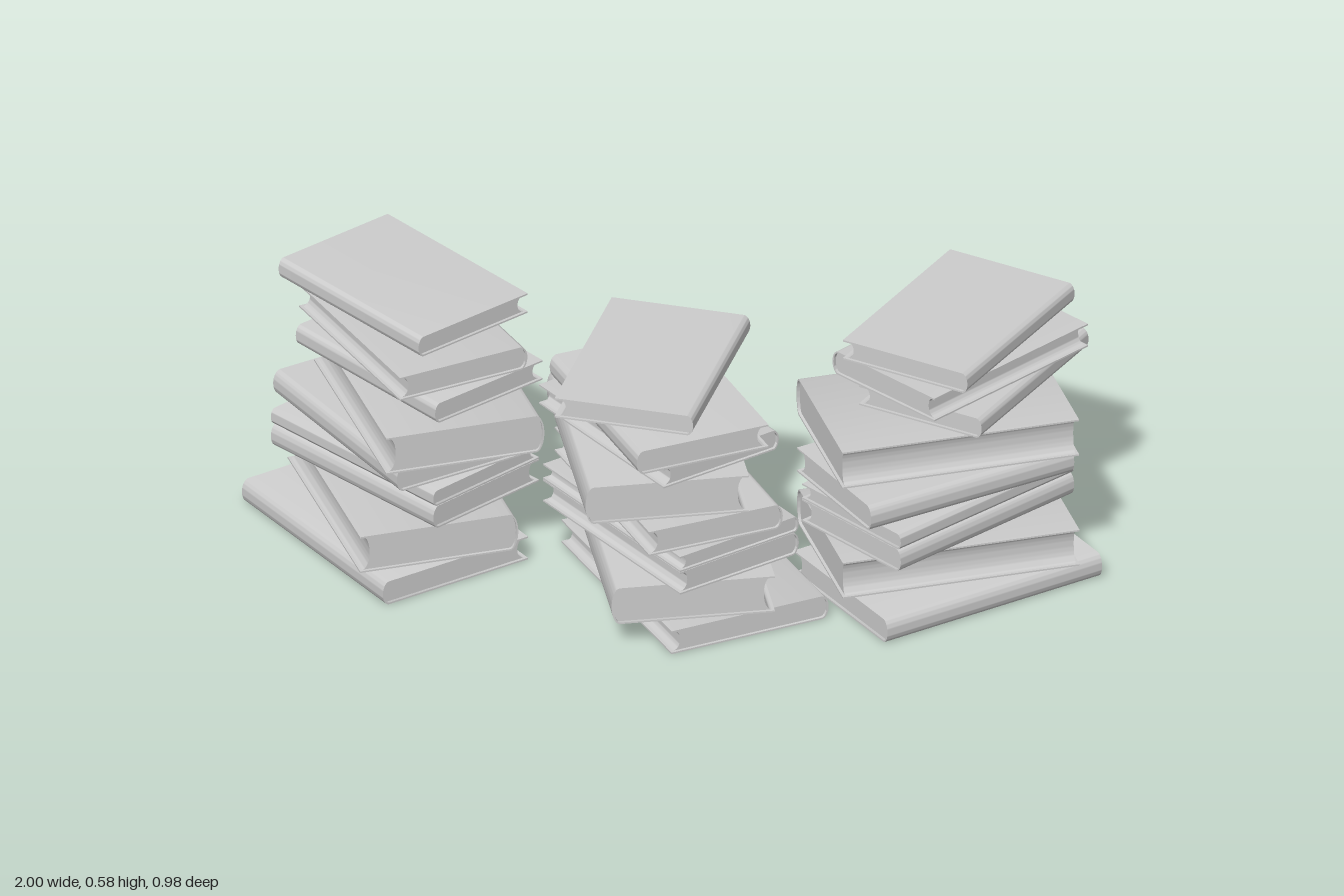
import * as THREE from 'three';
import { toCreasedNormals } from 'three/addons/utils/BufferGeometryUtils.js';

const COVER = 0.004; // board thickness
const material = new THREE.MeshStandardMaterial({ color: 0xcccccc });

// Extrude a profile along z, centred, keeping sharp edges sharp
function extrude(shape, length) {
  const geo = new THREE.ExtrudeGeometry(shape, { depth: length, bevelEnabled: false, curveSegments: 12 });
  geo.translate(0, 0, -length / 2);
  return toCreasedNormals(geo, 0.6);
}

// Hard cover: two boards joined by a rounded spine on +x
function coverGeometry(w, h, l) {
  const bulge = Math.min(0.3 * h, 0.02), sx = w / 2 - bulge, r = h / 2, t = COVER;
  const s = new THREE.Shape();
  s.moveTo(-w / 2, -r);
  s.lineTo(sx, -r);
  s.absellipse(sx, 0, bulge, r, -Math.PI / 2, Math.PI / 2, false);
  s.lineTo(-w / 2, r);
  s.lineTo(-w / 2, r - t);
  s.lineTo(sx, r - t);
  s.absellipse(sx, 0, bulge - t, r - t, Math.PI / 2, -Math.PI / 2, true);
  s.lineTo(-w / 2, -r + t);
  s.closePath();
  return extrude(s, l);
}

// Page block: hollow fore edge on -x, rounded back inside the spine
function pagesGeometry(w, h, l) {
  const bulge = Math.min(0.3 * h, 0.02), sx = w / 2 - bulge, r = h / 2 - COVER, fx = -w / 2 + 0.007;
  const s = new THREE.Shape();
  s.moveTo(fx, -r);
  s.lineTo(sx, -r);
  s.absellipse(sx, 0, bulge - COVER, r, -Math.PI / 2, Math.PI / 2, false);
  s.lineTo(fx, r);
  s.absellipse(fx, 0, Math.min(0.35 * h, 0.018), r, Math.PI / 2, -Math.PI / 2, true);
  return extrude(s, l - 0.014);
}

// Each layer: bottom, top, width, length, then [x, z, spine heading in degrees] for right, middle, left stack
const LAYERS = [
  { y: [0, 0.06], size: [0.4, 0.585], poses: [[-0.66, -0.045, 142], [0.068, 0.13, -30], [0.645, 0.065, 53]] },
  { y: [0.061, 0.155], size: [0.38, 0.566], poses: [[-0.62, -0.067, -21.5], [0.02, 0.145, 166.5], [0.62, 0.025, 249.5]] },
  { y: [0.156, 0.214], size: [0.335, 0.541], poses: [[-0.617, -0.085, 132], [0.015, 0.166, -40], [0.62, 0.03, 43]] },
  { y: [0.215, 0.255], size: [0.335, 0.541], poses: [[-0.617, -0.085, 132], [0.015, 0.166, -40], [0.62, 0.03, 43]] },
  { y: [0.257, 0.32], size: [0.335, 0.542], poses: [[-0.635, -0.085, 144], [0.01, 0.168, -28], [0.615, 0.043, 55]] },
  { y: [0.322, 0.417], size: [0.38, 0.566], poses: [[-0.56, -0.067, -21.5], [-0.04, 0.145, 166.5], [0.615, -0.025, 249.5]] },
  { y: [0.419, 0.47], size: [0.325, 0.492], poses: [[-0.585, -0.095, 135], [-0.013, 0.162, -40], [0.69, -0.125, 25.5]] },
  { y: [0.472, 0.532], size: [0.33, 0.5], poses: [[-0.6, -0.115, -32], [-0.01, 0.195, 152], [0.66, -0.11, 220.5]] },
  { y: [0.534, 0.585], size: [0.33, 0.494], poses: [[-0.63, -0.2, 135], [-0.03, 0.135, 11], [0.655, -0.13, 25.5]] },
];

export function createModel() {
  const model = new THREE.Group();
  model.name = 'bookStacks';
  const stacks = ['rightStack', 'middleStack', 'leftStack'].map((name) => {
    const stack = new THREE.Group();
    stack.name = name;
    model.add(stack);
    return stack;
  });

  LAYERS.forEach(({ y: [y0, y1], size: [w, l], poses }, layer) => {
    const h = y1 - y0;
    const cover = coverGeometry(w, h, l), pages = pagesGeometry(w, h, l);
    poses.forEach(([x, z, heading], i) => {
      const book = new THREE.Group();
      book.name = `book${layer + 1}`;
      for (const [name, geo] of [['cover', cover], ['pages', pages]]) {
        const mesh = new THREE.Mesh(geo, material);
        mesh.name = name;
        book.add(mesh);
      }
      book.position.set(x, (y0 + y1) / 2, z);
      book.rotation.y = -THREE.MathUtils.degToRad(heading);
      stacks[i].add(book);
    });
  });
  return model;
}
